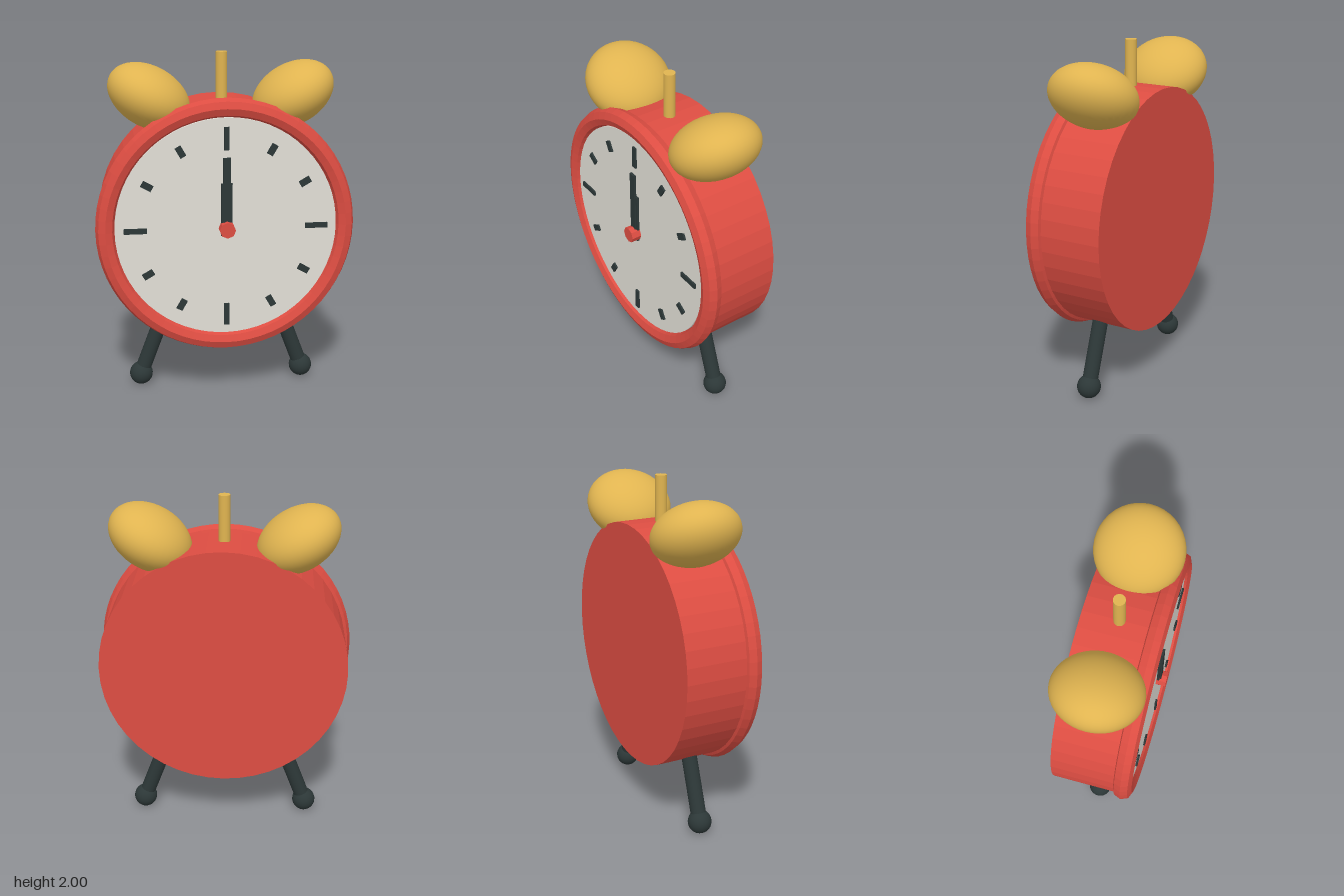
import * as THREE from 'three';

const mat = (name, color, flatShading = false) => {
  const m = new THREE.MeshStandardMaterial({ color, flatShading });
  m.name = name;
  return m;
};

export function createModel() {
  const red = mat('red enamel', 0xdd4d42, true);
  const brass = mat('brass', 0xe0b450);
  const dark = mat('dark metal', 0x2c3737);
  const cream = mat('dial cream', 0xe2dfd7);

  const root = new THREE.Group();
  root.name = 'alarmClock';
  const CY = 1.03, MID = -0.015;

  const add = (name, geo, material, x, y, z, parent = root) => {
    const m = new THREE.Mesh(geo, material);
    m.name = name;
    m.position.set(x, y, z);
    parent.add(m);
    return m;
  };
  // Cylinder lying along z between two depths
  const disc = (name, r, z0, z1, sides, material) => add(name,
    new THREE.CylinderGeometry(r, r, z1 - z0, sides).rotateX(Math.PI / 2),
    material, 0, CY, (z0 + z1) / 2);

  // Case, rim and dial
  disc('case', 0.708, -0.22, 0.19, 48, red);
  add('rim', new THREE.TorusGeometry(0.685, 0.055, 8, 64), red, 0, CY, 0.187);
  disc('dial', 0.633, 0.18, 0.212, 64, cream);

  // Hour marks, longer at the quarters
  for (let i = 0; i < 12; i++) {
    const a = (i * Math.PI) / 6;
    const quarter = i % 3 === 0;
    const geo = new THREE.BoxGeometry(quarter ? 0.03 : 0.037, quarter ? 0.13 : 0.065, 0.018);
    const mark = add('hourMark', geo, dark,
      Math.sin(a) * 0.517, CY + Math.cos(a) * 0.517, 0.214);
    mark.rotation.z = -a;
  }

  // Hands and hub
  add('hourHand', new THREE.BoxGeometry(0.064, 0.305, 0.014), dark, 0, 1.14, 0.222);
  add('minuteHand', new THREE.BoxGeometry(0.042, 0.45, 0.014), dark, 0, 1.215, 0.231);
  disc('handHub', 0.046, 0.2, 0.27, 8, red);

  // Hammer rod on top
  add('hammerRod', new THREE.CylinderGeometry(0.033, 0.033, 0.34, 16), brass, 0, 1.83, MID);

  // Bells and legs, mirrored
  for (const s of [-1, 1]) {
    const side = s > 0 ? 'left' : 'right';
    const bell = add(side + 'Bell', new THREE.SphereGeometry(0.25, 40, 28), brass,
      s * 0.412, 1.752, MID - 0.003);
    bell.scale.set(1, 0.68, 1);
    bell.rotation.z = s * Math.PI / 6;

    const foot = new THREE.Vector3(s * 0.49, 0.07, MID);
    const hip = new THREE.Vector3(s * 0.34, 0.47, MID);
    const dir = hip.clone().sub(foot);
    const c = foot.clone().add(hip).multiplyScalar(0.5);
    const leg = add(side + 'Leg',
      new THREE.CylinderGeometry(0.045, 0.045, dir.length(), 20), dark, c.x, c.y, c.z);
    leg.quaternion.setFromUnitVectors(new THREE.Vector3(0, 1, 0), dir.normalize());
    add(side + 'Foot', new THREE.SphereGeometry(0.069, 24, 16), dark, foot.x, 0.069, foot.z);
  }
  return root;
}
